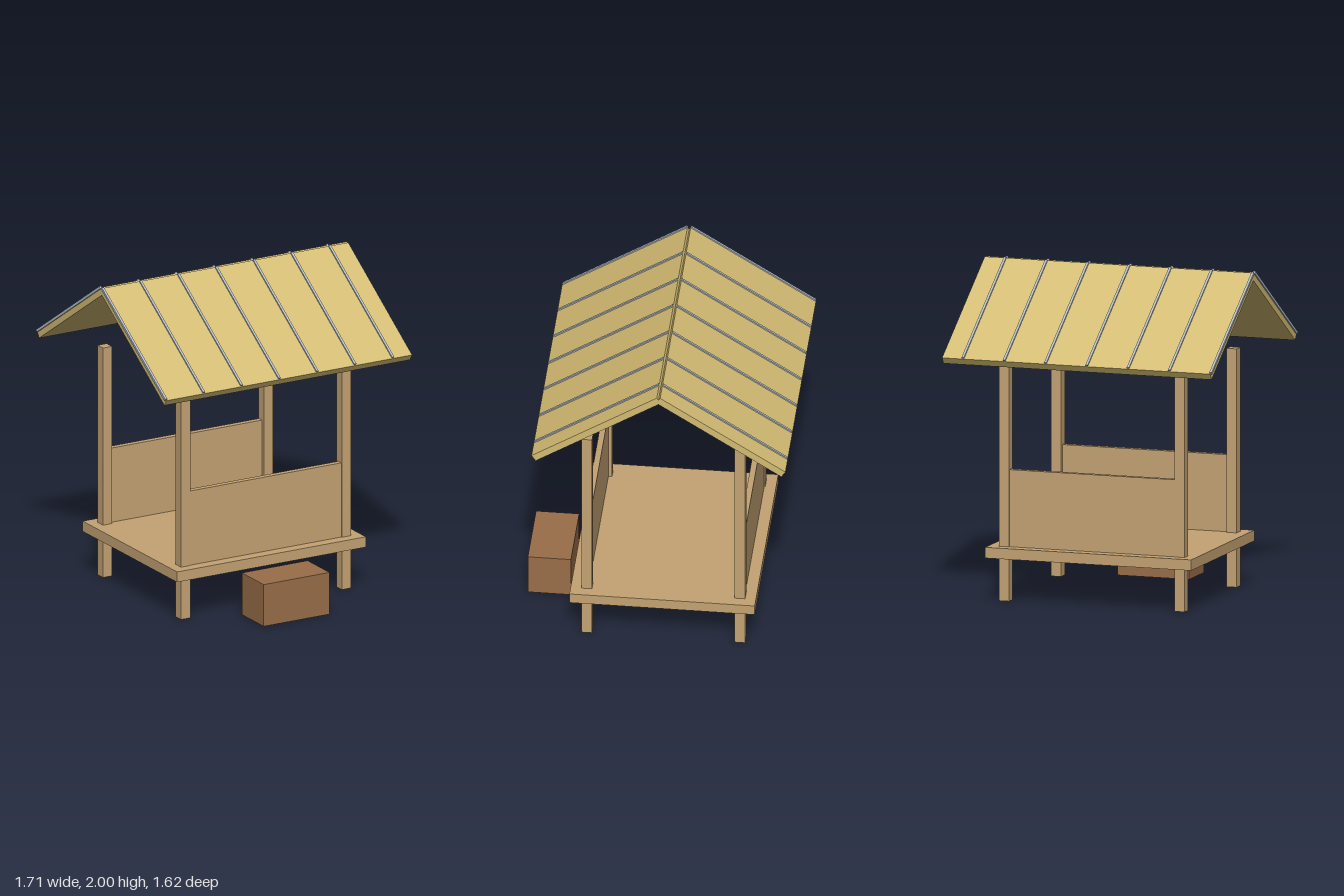
import * as THREE from 'three';

export function createModel() {
  const model = new THREE.Group();
  model.name = 'openHut';

  const mat = (name, color) => {
    const m = new THREE.MeshStandardMaterial({ color });
    m.name = name;
    return m;
  };
  const wood = mat('lightWood', 0xc4a373);
  const darkWood = mat('darkWood', 0x996e48);
  const sheet = mat('strawRoof', 0xd4bc73);
  const metal = mat('greyMetal', 0xb4bcc4);

  // Box helper: size, then centre
  const box = (name, material, [w, h, d], [x, y, z], parent = model) => {
    const mesh = new THREE.Mesh(new THREE.BoxGeometry(w, h, d), material);
    mesh.name = name;
    mesh.position.set(x, y, z);
    parent.add(mesh);
    return mesh;
  };

  // Floor and step
  const midZ = -0.04;
  box('floor', wood, [1.308, 0.065, 1.113], [0, 0.2975, midZ]);
  box('step', darkWood, [0.456, 0.263, 0.259], [0, 0.1315, 0.683]);

  // Posts at the four corners, with a low wall at front and back
  for (const side of [1, -1]) {
    const end = side > 0 ? 'front' : 'back';
    for (const x of [0.557, -0.557]) {
      box(end + (x > 0 ? 'LeftPost' : 'RightPost'), wood,
        [0.064, 1.445, 0.064], [x, 0.7225, midZ + side * 0.46]);
    }
    box(end + 'Wall', wood, [1.06, 0.47, 0.036], [0, 0.562, midZ + side * 0.468]);
  }

  // Gable roof: each slope is laid flat from its ridge edge, then tilted
  const pitch = Math.atan(0.653);
  const length = 0.899, thickness = 0.045;
  for (const side of [1, -1]) {
    const slope = new THREE.Group();
    slope.name = side > 0 ? 'frontRoofSlope' : 'backRoofSlope';
    slope.position.set(0, 1.992, midZ + side * 0.01);
    slope.rotation.x = side * pitch;
    model.add(slope);
    box('roofSheet', sheet, [1.702, thickness, length],
      [0.002, -thickness / 2, side * length / 2], slope);
    // Raised seams
    for (let i = 0; i < 7; i++) {
      box('roofSeam', metal, [0.015, 0.016, length - 0.006],
        [-0.85 + i * 0.262, 0, side * (length / 2 - 0.003)], slope);
    }
  }
  return model;
}
